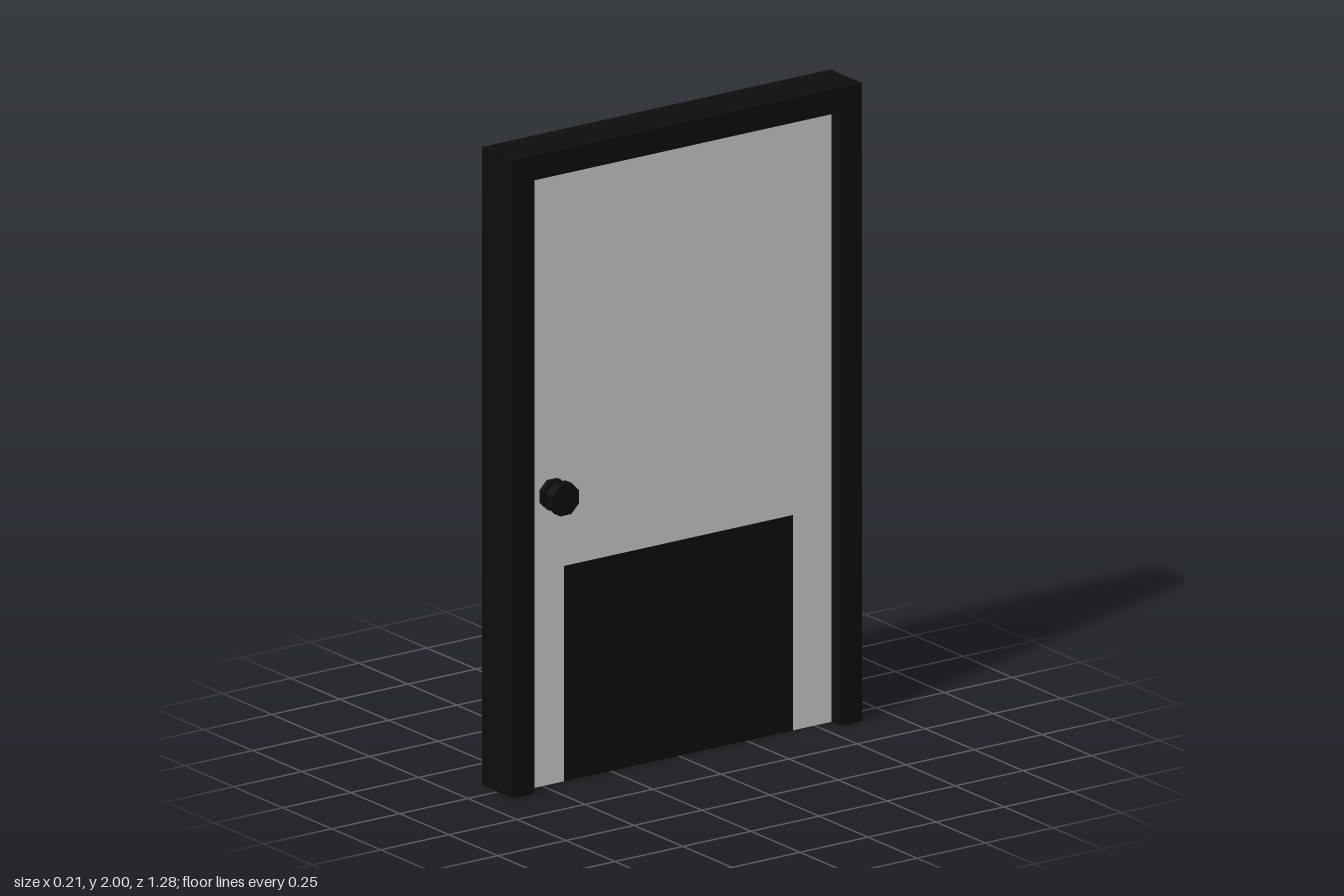
import * as THREE from 'three';

export function createModel() {
  const group = new THREE.Group();
  const black = new THREE.MeshStandardMaterial({ name: 'black', color: 0x0d0d0d });
  const paleGrey = new THREE.MeshStandardMaterial({ name: 'paleGrey', color: 0xcccccc });

  const HALF_WIDTH = 0.64, HEIGHT = 2, FRAME_DEPTH = 0.16, FRAME_WIDTH = 0.077;
  const LEAF_DEPTH = 0.066, PANEL_HALF = 0.42, PANEL_TOP = 0.675;
  const INNER = HALF_WIDTH - FRAME_WIDTH, INNER_TOP = HEIGHT - FRAME_WIDTH;

  // Extrudes a (z, y) outline through x, centred on x = 0
  function slab(name, points, depth, material) {
    const shape = new THREE.Shape(points.map(([z, y]) => new THREE.Vector2(-z, y)));
    const geometry = new THREE.ExtrudeGeometry(shape, { depth, bevelEnabled: false });
    geometry.translate(0, 0, -depth / 2).rotateY(Math.PI / 2);
    const mesh = new THREE.Mesh(geometry, material);
    mesh.name = name;
    group.add(mesh);
  }

  // Frame: two jambs and a head, open at the floor
  slab('doorFrame', [
    [HALF_WIDTH, 0], [HALF_WIDTH, HEIGHT], [-HALF_WIDTH, HEIGHT], [-HALF_WIDTH, 0],
    [-INNER, 0], [-INNER, INNER_TOP], [INNER, INNER_TOP], [INNER, 0],
  ], FRAME_DEPTH, black);

  // Leaf, cut out around the flush lower panel
  slab('doorLeaf', [
    [INNER, 0], [INNER, INNER_TOP], [-INNER, INNER_TOP], [-INNER, 0],
    [-PANEL_HALF, 0], [-PANEL_HALF, PANEL_TOP], [PANEL_HALF, PANEL_TOP], [PANEL_HALF, 0],
  ], LEAF_DEPTH, paleGrey);
  slab('lowerPanel', [
    [PANEL_HALF, 0], [PANEL_HALF, PANEL_TOP], [-PANEL_HALF, PANEL_TOP], [-PANEL_HALF, 0],
  ], LEAF_DEPTH, black);

  // Octagonal knob on each face: backplate, neck and grip
  const knobParts = [
    ['backplate', 0.03, 0.048, 0.05],
    ['neck', 0.046, 0.076, 0.03],
    ['grip', 0.074, 0.104, 0.053],
  ];
  for (const side of [1, -1]) {
    const knob = new THREE.Group();
    knob.name = side > 0 ? 'leftKnob' : 'rightKnob';
    knob.position.set(0, 0.91, 0.465);
    for (const [name, from, to, radius] of knobParts) {
      const geometry = new THREE.CylinderGeometry(radius, radius, to - from, 8);
      geometry.rotateY(Math.PI / 8).rotateZ(Math.PI / 2);
      geometry.translate(side * (from + to) / 2, 0, 0);
      const mesh = new THREE.Mesh(geometry.toNonIndexed(), black);
      mesh.geometry.computeVertexNormals();
      mesh.name = name;
      knob.add(mesh);
    }
    group.add(knob);
  }
  return group;
}
